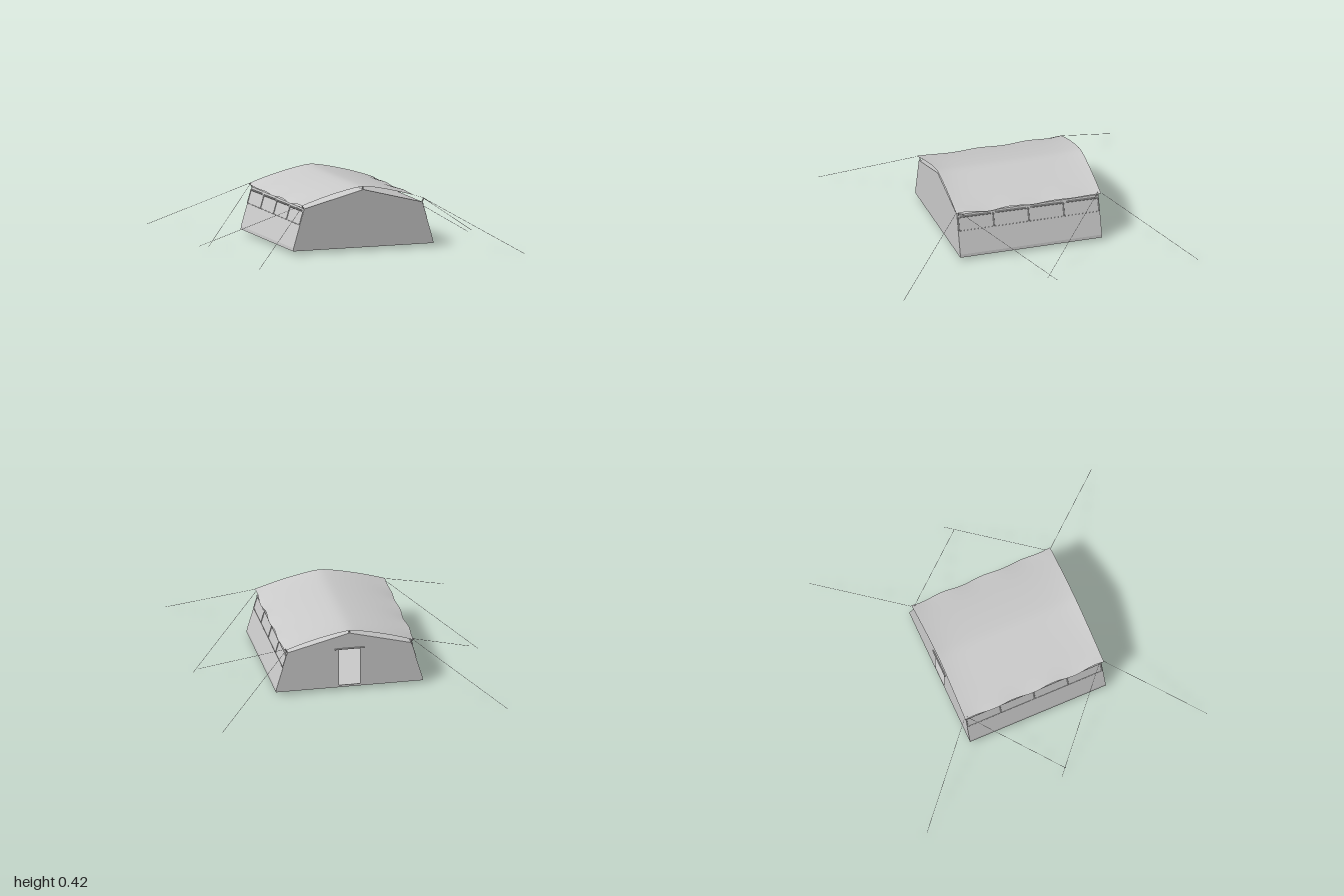
import * as THREE from 'three';

const grey = new THREE.MeshStandardMaterial({ color: 0xcccccc, side: THREE.DoubleSide });
const flat = new THREE.MeshStandardMaterial({ color: 0xcccccc, side: THREE.DoubleSide, flatShading: true });
const BACK = -0.49, FRONT = 0.475;

// Gable outline: floor edge, short upright hem, leaning wall, ridge
const half = [[0.487, 0.02], [0.485, 0.04], [0.41, 0.295]];
const outline = [...half, [0, 0.4], ...half.map(([x, y]) => [-x, y]).reverse()];

function add(parent, name, geometry, material = grey) {
  const mesh = new THREE.Mesh(geometry, material);
  mesh.name = name;
  parent.add(mesh);
  return mesh;
}

// Thin round bar between two points
function bar(parent, name, a, b, radius, sides = 6) {
  const path = new THREE.LineCurve3(new THREE.Vector3(...a), new THREE.Vector3(...b));
  return add(parent, name, new THREE.TubeGeometry(path, 1, radius, sides), grey);
}

// Point on the outer face of a side wall at height y
const wallX = (y) => 0.485 - (0.075 * (y - 0.04)) / 0.255;

function shell() {
  const pos = [];
  outline.forEach(([x0, y0], i) => {
    const [x1, y1] = outline[(i + 1) % outline.length];
    pos.push(x0, y0, FRONT, x0, y0, BACK, x1, y1, BACK, x0, y0, FRONT, x1, y1, BACK, x1, y1, FRONT);
  });
  const g = new THREE.BufferGeometry();
  g.setAttribute('position', new THREE.Float32BufferAttribute(pos, 3));
  g.computeVertexNormals();
  return g;
}

function gable(withDoor) {
  const shape = new THREE.Shape(outline.map(([x, y]) => new THREE.Vector2(x, y)));
  if (withDoor) {
    const door = [[-0.07, 0.035], [-0.07, 0.285], [0.07, 0.285], [0.07, 0.035]];
    shape.holes.push(new THREE.Path(door.map(([x, y]) => new THREE.Vector2(x, y))));
  }
  return new THREE.ShapeGeometry(shape);
}

// Arched cloth, sagging between its ends, with a slightly wavy eave
function flySheet() {
  const g = new THREE.PlaneGeometry(2, 2, 32, 32).rotateX(-Math.PI / 2);
  const p = g.attributes.position;
  for (let i = 0; i < p.count; i++) {
    const u = p.getX(i), v = p.getZ(i);
    const edge = Math.pow(Math.abs(u), 8);
    const x = u * 0.433 + Math.sign(u) * edge * 0.005 * Math.cos(v * 11);
    const ax = Math.sqrt(x * x + 0.0009) - 0.03;
    const sag = 0.012 * (1 - Math.pow(v, 6)) * (1 - 0.5 * Math.abs(u));
    const y = 0.421 - 0.155 * ax - 0.23 * x * x - sag + edge * 0.004 * Math.sin(v * 9);
    p.setXYZ(i, x, y, -0.007 + v * 0.493 + (v > 0 ? -0.006 : 0) * (1 - Math.abs(u)));
  }
  g.computeVertexNormals();
  return g;
}

export function createModel() {
  const tent = new THREE.Group();
  tent.name = 'tent';

  // Tent body
  const body = new THREE.Group();
  body.name = 'body';
  tent.add(body);
  add(body, 'wallsRoofAndFloor', shell(), flat);
  add(body, 'frontGable', gable(false), flat).position.z = FRONT;
  const back = add(body, 'backGable', gable(true).rotateY(Math.PI), flat);
  back.position.z = BACK;

  // Rolled door flap above the opening
  bar(body, 'doorRoll', [-0.1, 0.292, BACK - 0.004], [0.1, 0.292, BACK - 0.004], 0.005, 8);

  // Outer roof sheet
  add(tent, 'flySheet', flySheet());

  // Supports holding the sheet off the body
  for (const z of [FRONT - 0.01, BACK + 0.01]) {
    bar(tent, 'ridgeSupport', [0, 0.395, z], [0, 0.418, z], 0.005);
    for (const s of [-1, 1]) bar(tent, 'eaveSupport', [s * 0.408, 0.29, z], [s * 0.424, 0.318, z], 0.004);
  }

  // Side windows: rolled covers, straps between them and a sill seam
  for (const s of [-1, 1]) {
    const side = new THREE.Group();
    side.name = s > 0 ? 'leftWindows' : 'rightWindows';
    tent.add(side);
    for (let i = 0; i < 4; i++) {
      const z = 0.353 - i * 0.242, x = s * (wallX(0.28) + 0.005);
      bar(side, 'windowRoll', [x, 0.278, z - 0.105], [x, 0.281, z + 0.105], 0.0055, 8);
    }
    for (let i = 0; i < 5; i++) {
      const z = 0.468 - i * 0.2385;
      bar(side, 'windowStrap', [s * wallX(0.19), 0.19, z], [s * wallX(0.28), 0.28, z], 0.004);
    }
    const x = s * wallX(0.19);
    bar(side, 'windowSill', [x, 0.19, BACK + 0.01], [x, 0.19, FRONT - 0.01], 0.002);
  }

  // Guy ropes: one outward and one crossing from each corner
  const ropes = [
    [-0.505, 0.945, -1], [-0.475, 0.9, 0.01],
    [0.455, 0.945, -0.04], [0.488, 0.925, 1],
  ];
  for (const s of [-1, 1]) {
    for (const [z, endX, endZ] of ropes) {
      bar(tent, 'guyRope', [s * 0.428, 0.314, z], [s * endX, 0.002, endZ], 0.0012, 5);
    }
  }
  return tent;
}
